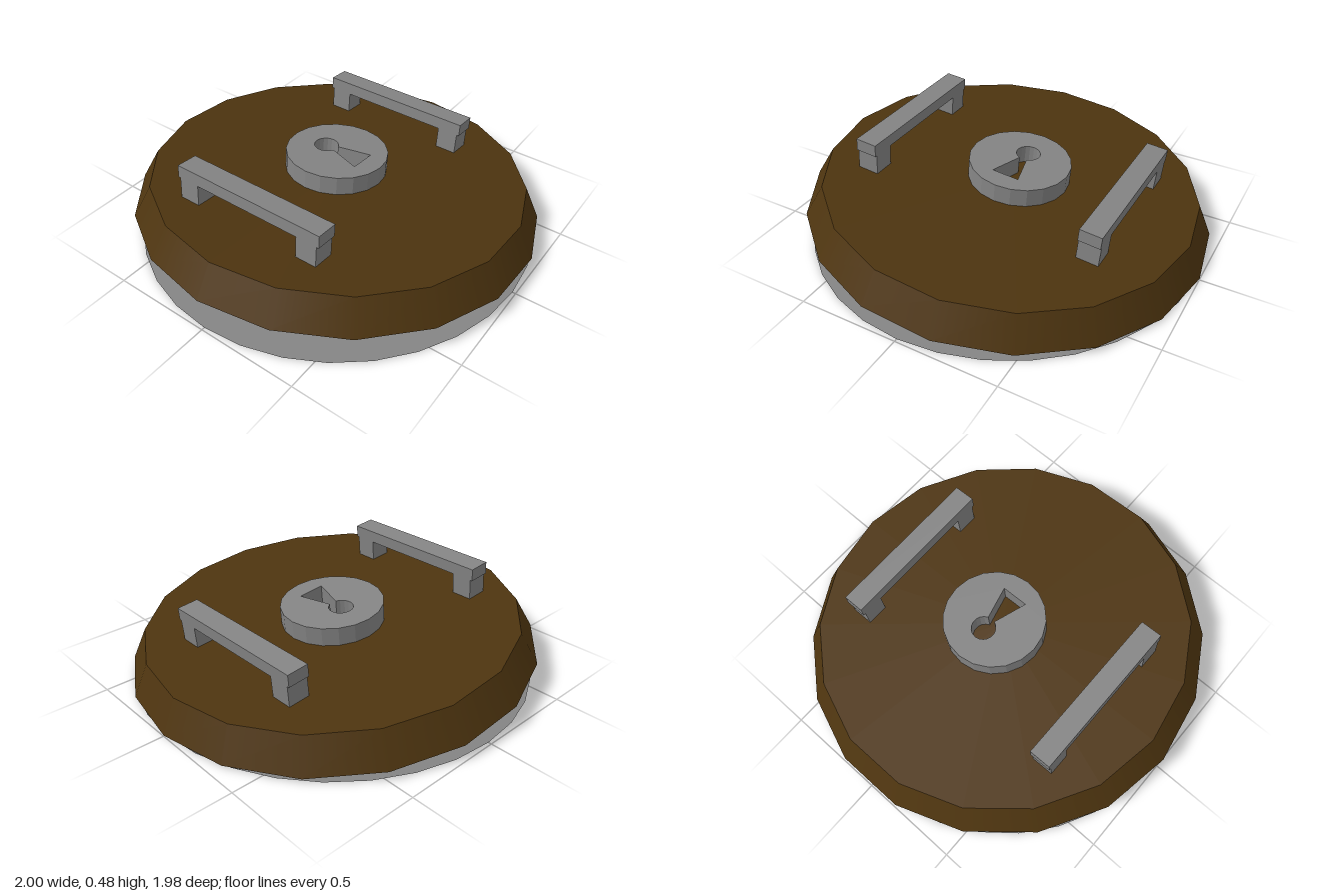
import * as THREE from 'three';

export function createModel() {
  const model = new THREE.Group();
  const wood = new THREE.MeshStandardMaterial({ color: 0x4d340f });
  wood.name = 'brown wood';
  const metal = new THREE.MeshStandardMaterial({ color: 0x848484, side: THREE.DoubleSide });
  metal.name = 'grey metal';

  const add = (parent, name, geometry, material, x = 0, y = 0, z = 0) => {
    const mesh = new THREE.Mesh(geometry, material);
    mesh.name = name;
    mesh.position.set(x, y, z);
    parent.add(mesh);
    return mesh;
  };

  // Flat disc on the ground under the tilted lid
  add(model, 'baseDisc', new THREE.CircleGeometry(0.985, 32).rotateX(-Math.PI / 2), metal);

  // Everything on the lid leans five degrees towards +x
  const lid = new THREE.Group();
  lid.name = 'lid';
  lid.position.set(0, 0.0925, -0.003);
  lid.rotation.z = -THREE.MathUtils.degToRad(5);
  model.add(lid);

  // Bevelled wooden lid, with a corner on the x axis
  const height = 0.158;
  const board = new THREE.CylinderGeometry(0.923, 1.004, height, 18, 1, false, Math.PI / 2);
  add(lid, 'woodenBoard', board, wood, 0, height / 2);

  // Round lock plate with a keyhole cut through it
  const plate = new THREE.Shape();
  const sides = 20;
  for (let i = 0; i < sides; i++) {
    const a = (i / sides) * Math.PI * 2;
    const x = 0.0165 + 0.253 * Math.cos(a), y = 0.033 + 0.253 * Math.sin(a);
    if (i === 0) plate.moveTo(x, y);
    else plate.lineTo(x, y);
  }
  plate.closePath();
  const keyhole = new THREE.Path();
  keyhole.moveTo(0.085, -0.12);
  keyhole.lineTo(-0.052, -0.12);
  keyhole.lineTo(0.004, 0.047);
  // Round head of the keyhole, from its lower left over the top to its lower right
  const start = -1.9, sweep = -(Math.PI * 2 - 0.66);
  for (let i = 0; i <= 16; i++) {
    const a = start + (sweep * i) / 16;
    keyhole.lineTo(0.023 + 0.06 * Math.cos(a), 0.104 + 0.06 * Math.sin(a));
  }
  plate.holes.push(keyhole);
  const lock = new THREE.ExtrudeGeometry(plate, { depth: 0.093, bevelEnabled: false });
  add(lid, 'lockPlate', lock.rotateX(-Math.PI / 2), metal, 0, height);

  // Two handles: a long bar on two short legs
  for (const [name, x] of [['rightHandle', -0.611], ['leftHandle', 0.57]]) {
    const handle = new THREE.Group();
    handle.name = name;
    handle.position.set(x, 0, -0.03);
    lid.add(handle);
    add(handle, 'bar', new THREE.BoxGeometry(0.109, 0.062, 0.806), metal, 0, 0.295);
    for (const z of [0.337, -0.337]) {
      add(handle, 'leg', new THREE.BoxGeometry(0.109, 0.112, 0.108), metal, 0, 0.208, z);
    }
  }
  return model;
}
